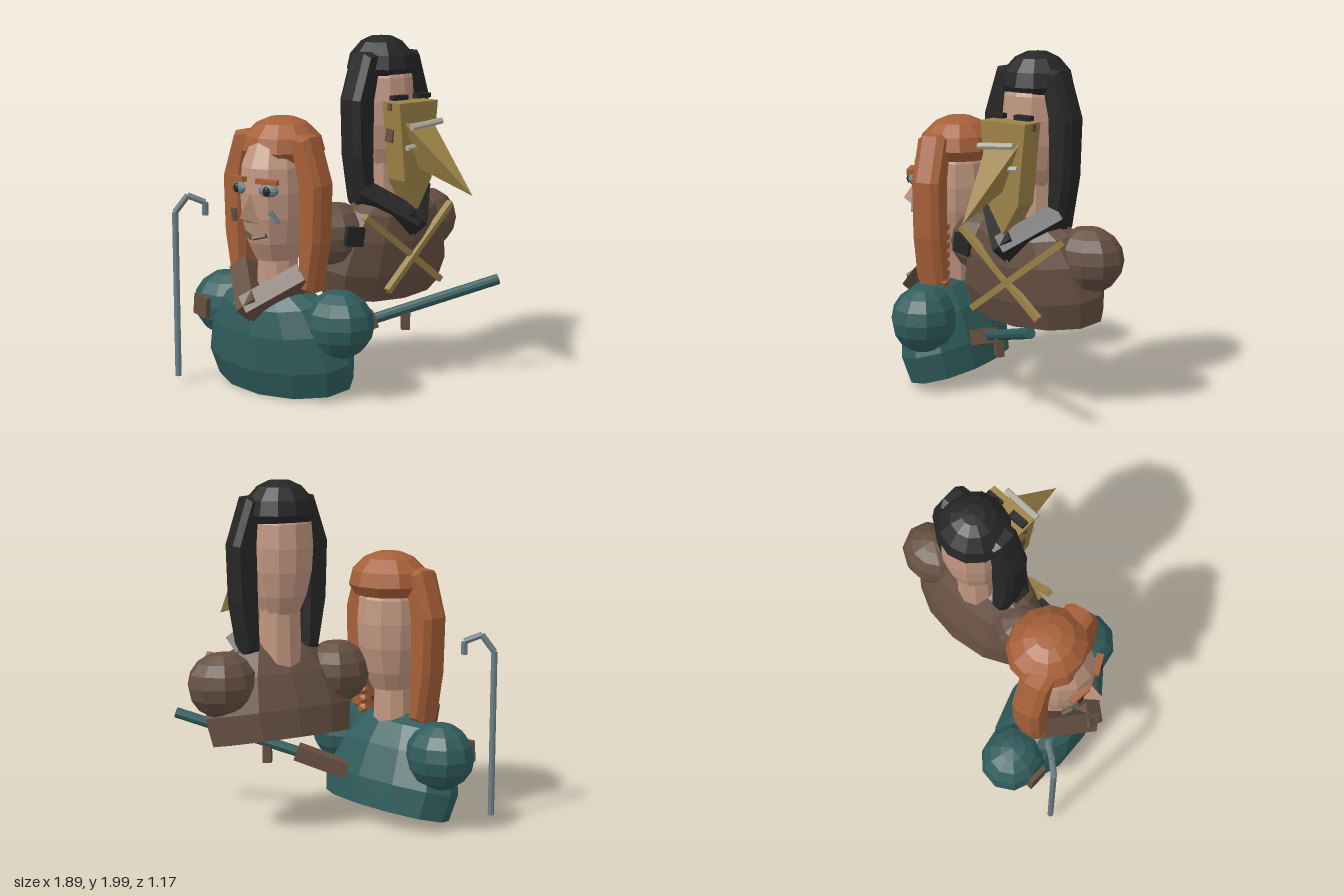
import * as THREE from 'three';
import { ConvexGeometry } from 'three/addons/geometries/ConvexGeometry.js';

const V = (p) => new THREE.Vector3(...p);

export function createModel() {
  const mat = (name, color) => {
    const m = new THREE.MeshStandardMaterial({ color });
    m.name = name;
    return m;
  };
  const teal = mat('teal', 0x305c5c);
  const orange = mat('orange hair', 0xa66038);
  const skin = mat('skin', 0xc09680);
  const black = mat('black', 0x262626);
  const brown = mat('brown', 0x654f41);
  const gold = mat('gold', 0x9c8347);
  const steel = mat('steel', 0x6c7f86);
  const pale = mat('pale metal', 0xb0ad9f);

  // Faceted mesh added to a parent
  function add(parent, name, geo, material, pos = [0, 0, 0], rot = [0, 0, 0], scale = [1, 1, 1]) {
    const flat = geo.index ? geo.toNonIndexed() : geo;
    flat.computeVertexNormals();
    const mesh = new THREE.Mesh(flat, material);
    mesh.name = name;
    mesh.position.set(...pos);
    mesh.rotation.set(...rot);
    mesh.scale.set(...scale);
    parent.add(mesh);
    return mesh;
  }
  const box = (w, h, d) => new THREE.BoxGeometry(w, h, d);
  const lathe = (pts, n) => new THREE.LatheGeometry(pts.map((p) => new THREE.Vector2(...p)), n);
  const solid = (pts) => new ConvexGeometry(pts.map(V));

  // Straight bar between two points: square when sides is 4, otherwise round
  function bar(parent, name, a, b, width, material, sides = 4, depth = width) {
    const from = V(a), to = V(b), len = from.distanceTo(to);
    const geo = sides === 4
      ? box(width, len, depth)
      : new THREE.CylinderGeometry(width / 2, width / 2, len, sides);
    const mesh = add(parent, name, geo, material);
    mesh.position.copy(from).add(to).multiplyScalar(0.5);
    mesh.quaternion.setFromUnitVectors(new THREE.Vector3(0, 1, 0), to.sub(from).normalize());
    return mesh;
  }

  // Shared bust: torso, shoulders, neck, head, hair and V collar
  function bust(name, o) {
    const g = new THREE.Group();
    g.name = name;
    g.position.set(o.x, o.y, o.z);
    g.rotation.y = o.yaw;

    const torso = [[0, 0], [0.45, 0], [0.48, 0.16], [0.42, 0.36], [0.32, 0.5], [0.19, 0.56], [0, 0.57]];
    add(g, 'torso', lathe(torso, 12), o.cloth, [0, 0.07, o.torsoZ], [0.24, 0, 0], o.torsoScale);
    add(g, 'neck', new THREE.CylinderGeometry(0.115, 0.125, 0.4, 10), skin, [0, 0.64, o.headZ]);
    const skull = [[0, -0.9], [0.58, -0.88], [0.8, -0.62], [0.96, -0.25], [1, 0.1], [0.95, 0.45], [0.7, 0.8], [0, 1]];
    add(g, 'head', lathe(skull, 12), skin, [0, 1.13, o.headZ], [0, 0, 0], o.head);
    const cap = [[0, 1.33], [0.19, 1.33], [0.23, 1.39], [0.21, 1.47], [0.14, 1.54], [0.07, 1.57], [0, 1.575]];
    add(g, 'hairCap', lathe(cap, 12), o.hair, [0, o.hairY, o.capZ], [0, 0, 0], o.capScale);

    for (const s of [-1, 1]) {
      const shoulder = new THREE.SphereGeometry(1, 10, 8);
      add(g, 'shoulder', shoulder, o.cloth, [s * o.shoulderX, o.shoulderY, 0], [0, 0, 0], o.shoulderR);
      // Long bowed side lock
      const outline = [[0.15, 1.47], [0.23, 1.46], [0.31, 1.22], [0.3, 0.9], [0.255, 0.64],
        [0.2, 0.64], [0.21, 0.9], [0.205, 1.22]];
      const lock = new THREE.ExtrudeGeometry(
        new THREE.Shape(outline.map(([x, y]) => new THREE.Vector2(s * (x + o.lockX), y + o.lockY))),
        { depth: 0.09, bevelThickness: 0.04, bevelSize: 0.025, bevelSegments: 1 });
      add(g, 'sideLock', lock, o.hair, [0, 0, -0.015]);
      bar(g, 'collar', [s * 0.22, 0.7 + o.collarY, 0.07], [s * -0.02, 0.52 + o.collarY, 0.29],
        0.115, o.collar, 4, 0.12);
    }
    return g;
  }

  const model = new THREE.Group();
  model.name = 'twoBusts';

  // Front bust with the long orange hair
  const a = bust('frontBust', {
    x: -0.33, y: 0, z: 0.115, yaw: -0.73, cloth: teal, hair: orange, collar: brown,
    torsoZ: -0.03, torsoScale: [1.03, 1, 0.55], shoulderR: [0.207, 0.195, 0.187], shoulderX: 0.41, shoulderY: 0.445,
    headZ: 0.03, head: [0.2, 0.4, 0.235], hairY: 0, capZ: -0.02, capScale: [1.06, 1, 1],
    lockX: 0.015, lockY: 0, collarY: 0,
  });
  model.add(a);
  for (const s of [-1, 1]) {
    add(a, 'eye', new THREE.SphereGeometry(1, 10, 6), steel, [s * 0.103, 1.195, 0.23], [0, s * 0.35, 0], [0.06, 0.036, 0.03]);
    add(a, 'pupil', new THREE.SphereGeometry(1, 8, 6), black, [s * 0.107, 1.195, 0.253], [0, 0, 0], [0.026, 0.028, 0.014]);
    add(a, 'eyebrow', box(0.125, 0.028, 0.04), orange, [s * 0.102, 1.245, 0.24], [0, s * 0.3, s * -0.05]);
    bar(a, 'mouth', [0, 0.92, 0.25], [s * 0.075, 0.94, 0.22], 0.018, brown, 4, 0.03);
  }
  add(a, 'nose', solid([[0, 1.22, 0.23], [-0.055, 0.99, 0.21], [0.055, 0.99, 0.21], [0, 1.05, 0.355]]), skin);
  add(a, 'scar', box(0.022, 0.085, 0.03), steel, [0.13, 1.045, 0.215], [0, 0.5, 0.6]);
  add(a, 'cheekPatch', box(0.06, 0.07, 0.02), brown, [-0.165, 1.03, 0.21], [0, -0.6, 0.1]);
  add(a, 'shoulderPatch', box(0.12, 0.12, 0.03), brown, [-0.445, 0.455, 0.185], [0, -0.2, -0.12]);
  // Small beads plaited behind one lock
  for (let i = 0; i < 7; i++) {
    add(a, 'braidBead', new THREE.IcosahedronGeometry(0.036, 0), orange, [0.205, 0.62 + i * 0.055, -0.03]);
  }

  // Rear bust with the black hair and beaked mask
  const b = bust('rearBust', {
    x: 0.27, y: 0.465, z: -0.19, yaw: 0.643, cloth: brown, hair: black, collar: black,
    torsoZ: -0.02, torsoScale: [0.96, 1, 0.51], shoulderR: [0.205, 0.187, 0.175], shoulderX: 0.36, shoulderY: 0.415,
    headZ: 0, head: [0.185, 0.38, 0.2], hairY: -0.04, capZ: -0.005, capScale: [0.88, 1, 0.88],
    lockX: -0.04, lockY: -0.04, collarY: -0.05,
  });
  model.add(b);
  const mask = new THREE.Shape([[-0.15, 1.175], [-0.105, 0.73], [0, 0.56], [0.105, 0.73], [0.15, 1.175]]
    .map((p) => new THREE.Vector2(...p)));
  add(b, 'mask', new THREE.ExtrudeGeometry(mask, { depth: 0.14, bevelEnabled: false }), gold, [0, 0, 0.17]);
  add(b, 'beak', solid([[-0.11, 1.07, 0.3], [0.11, 1.07, 0.3], [0, 0.8, 0.3], [0.035, 0.685, 0.705]]), gold);
  bar(b, 'upperNoseBar', [-0.115, 1.045, 0.37], [0.12, 1.065, 0.37], 0.038, pale, 6);
  bar(b, 'lowerNoseBar', [-0.115, 0.925, 0.335], [0.12, 0.935, 0.335], 0.034, pale, 6);
  for (const s of [-1, 1]) {
    add(b, 'eyebrow', box(0.105, 0.026, 0.045), black, [s * 0.09, 1.2, 0.24]);
    add(b, 'maskRivet', box(0.015, 0.04, 0.03), brown, [s * 0.148, 1.15, 0.23]);
    bar(b, 'crossStrap', [s * 0.34, 0.545, 0.235], [s * -0.22, 0.11, 0.285 + s * 0.01], 0.036, gold);
  }
  add(b, 'maskPatch', box(0.02, 0.075, 0.055), brown, [-0.133, 0.985, 0.215], [0.1, 0, -0.1]);
  add(b, 'shoulderPatch', box(0.12, 0.11, 0.03), black, [-0.375, 0.43, 0.185], [0, -0.1, -0.15]);

  // Long gun: barrel, stock and grip
  bar(model, 'barrel', [0.18, 0.375, 0.06], [0.932, 0.602, 0.045], 0.062, teal, 10);
  bar(model, 'stock', [-0.13, 0.265, 0.07], [0.215, 0.385, 0.06], 0.09, brown, 4, 0.09);
  add(model, 'grip', box(0.05, 0.12, 0.045), brown, [0.39, 0.375, 0.055]);

  // Hooked cane
  const cane = [[-0.927, 0.055], [-0.927, 1.02], [-0.855, 1.115], [-0.757, 1.075], [-0.757, 1.0]];
  for (let i = 0; i < cane.length - 1; i++) {
    bar(model, 'cane', [...cane[i], 0.018], [...cane[i + 1], 0.018], 0.036, steel, 8);
  }
  return model;
}
